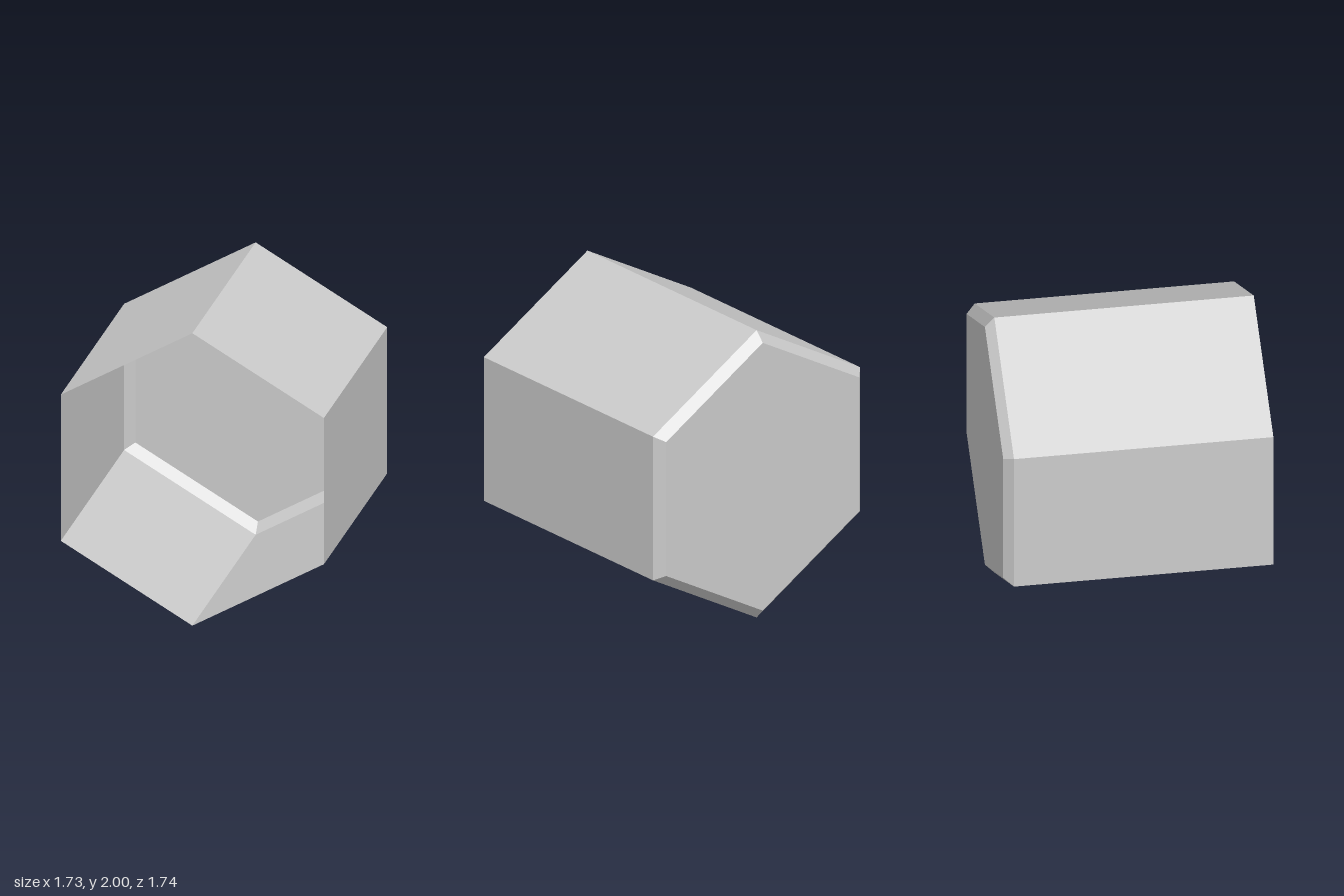
import * as THREE from 'three';

const SIDES = 6;
const OUTER = 1;        // corner radius of the tube
const INNER = 0.932;    // corner radius of the back panel
const HALF = 0.868;     // half depth
const BEVEL_Z = -0.807; // where the bevel starts

export function createModel() {
  const group = new THREE.Group();
  group.name = 'hexagonalCell';
  const material = new THREE.MeshStandardMaterial({
    color: 0xcccccc, flatShading: true, side: THREE.DoubleSide,
  });

  const add = (name, geometry) => {
    const mesh = new THREE.Mesh(geometry, material);
    mesh.name = name;
    mesh.position.y = OUTER;
    group.add(mesh);
  };

  // Six-sided open ring along z, with a corner at top and bottom
  const ring = (r0, z0, r1, z1) => {
    const profile = [new THREE.Vector2(r0, z0), new THREE.Vector2(r1, z1)];
    const geometry = new THREE.LatheGeometry(profile, SIDES).rotateX(Math.PI / 2).toNonIndexed();
    geometry.computeVertexNormals();
    return geometry;
  };

  // Thin walls, open at the front
  add('walls', ring(OUTER, BEVEL_Z, OUTER, HALF));

  // Sloped rim around the back
  add('backBevel', ring(INNER, -HALF, OUTER, BEVEL_Z));

  // Closed back, facing outwards
  add('backPanel', new THREE.CircleGeometry(INNER, SIDES, Math.PI / 2)
    .rotateY(Math.PI).translate(0, 0, -HALF));

  return group;
}
